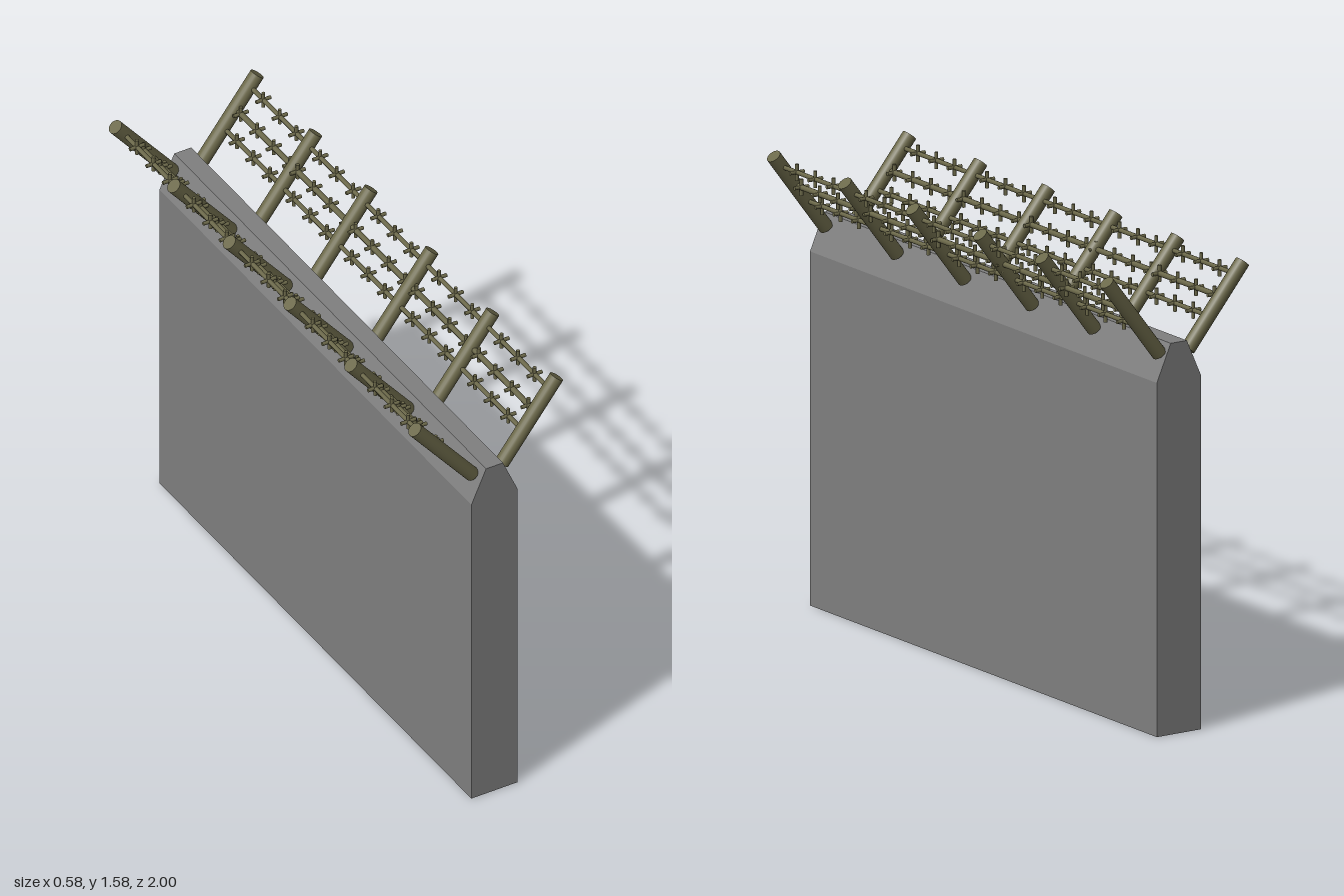
import * as THREE from 'three';

const concrete = new THREE.MeshStandardMaterial({ color: 0x808080, flatShading: true });
const metal = new THREE.MeshStandardMaterial({ color: 0x6b6849 });

const postZ = [0.953, 0.543, 0.153, -0.237, -0.593, -0.967];
const postRadius = 0.025;

// Cylinder between two points
function rod(name, a, b, radius, sides) {
  const dir = b.clone().sub(a);
  const mesh = new THREE.Mesh(new THREE.CylinderGeometry(radius, radius, dir.length(), sides), metal);
  mesh.position.copy(a).add(b).multiplyScalar(0.5);
  mesh.quaternion.setFromUnitVectors(new THREE.Vector3(0, 1, 0), dir.normalize());
  mesh.name = name;
  return mesh;
}

// Two short bars crossed around a wire
function barb(x, y, z) {
  const group = new THREE.Group();
  group.name = 'barb';
  const h = 0.028, r = 0.0065;
  group.add(
    rod('barbSpike', new THREE.Vector3(-h, 0, 0), new THREE.Vector3(h, 0, 0), r, 8),
    rod('barbSpike', new THREE.Vector3(0, -h, 0), new THREE.Vector3(0, h, 0), r, 8)
  );
  group.position.set(x, y, z);
  return group;
}

// One leaning row of posts with three barbed wires
function fence(name, base, top) {
  const group = new THREE.Group();
  group.name = name;
  for (const z of postZ) {
    group.add(rod('post', new THREE.Vector3(base.x, base.y, z), new THREE.Vector3(top.x, top.y, z), postRadius, 20));
  }
  const rows = [
    { t: 0.38, r: 0.008, offsets: [-0.106, 0, 0.106] },
    { t: 0.6, r: 0.01, offsets: [-0.159, -0.053, 0.053, 0.159] },
    { t: 0.86, r: 0.008, offsets: [-0.106, 0, 0.106] },
  ];
  for (const { t, r, offsets } of rows) {
    const { x, y } = base.clone().lerp(top, t);
    group.add(rod('wire', new THREE.Vector3(x, y, postZ[0]), new THREE.Vector3(x, y, postZ[5]), r, 8));
    for (let i = 0; i < postZ.length - 1; i++) {
      const mid = (postZ[i] + postZ[i + 1]) / 2 + 0.007;
      for (const o of offsets) group.add(barb(x, y, mid + o));
    }
  }
  return group;
}

export function createModel() {
  const model = new THREE.Group();
  model.name = 'barbedWall';

  // Wall slab with a tapered crown
  const profile = new THREE.Shape([
    [-0.084, 0], [0.091, 0], [0.091, 1.2], [0.036, 1.326], [-0.028, 1.326], [-0.084, 1.2],
  ].map(([x, y]) => new THREE.Vector2(x, y)));
  const geometry = new THREE.ExtrudeGeometry(profile, { depth: 2, bevelEnabled: false });
  geometry.translate(0, 0, -1);
  const wall = new THREE.Mesh(geometry, concrete);
  wall.name = 'wall';
  model.add(wall);

  // Fences leaning out to both sides
  model.add(
    fence('leftFence', new THREE.Vector2(0.059, 1.287), new THREE.Vector2(0.268, 1.56)),
    fence('rightFence', new THREE.Vector2(-0.054, 1.285), new THREE.Vector2(-0.272, 1.549))
  );
  return model;
}
